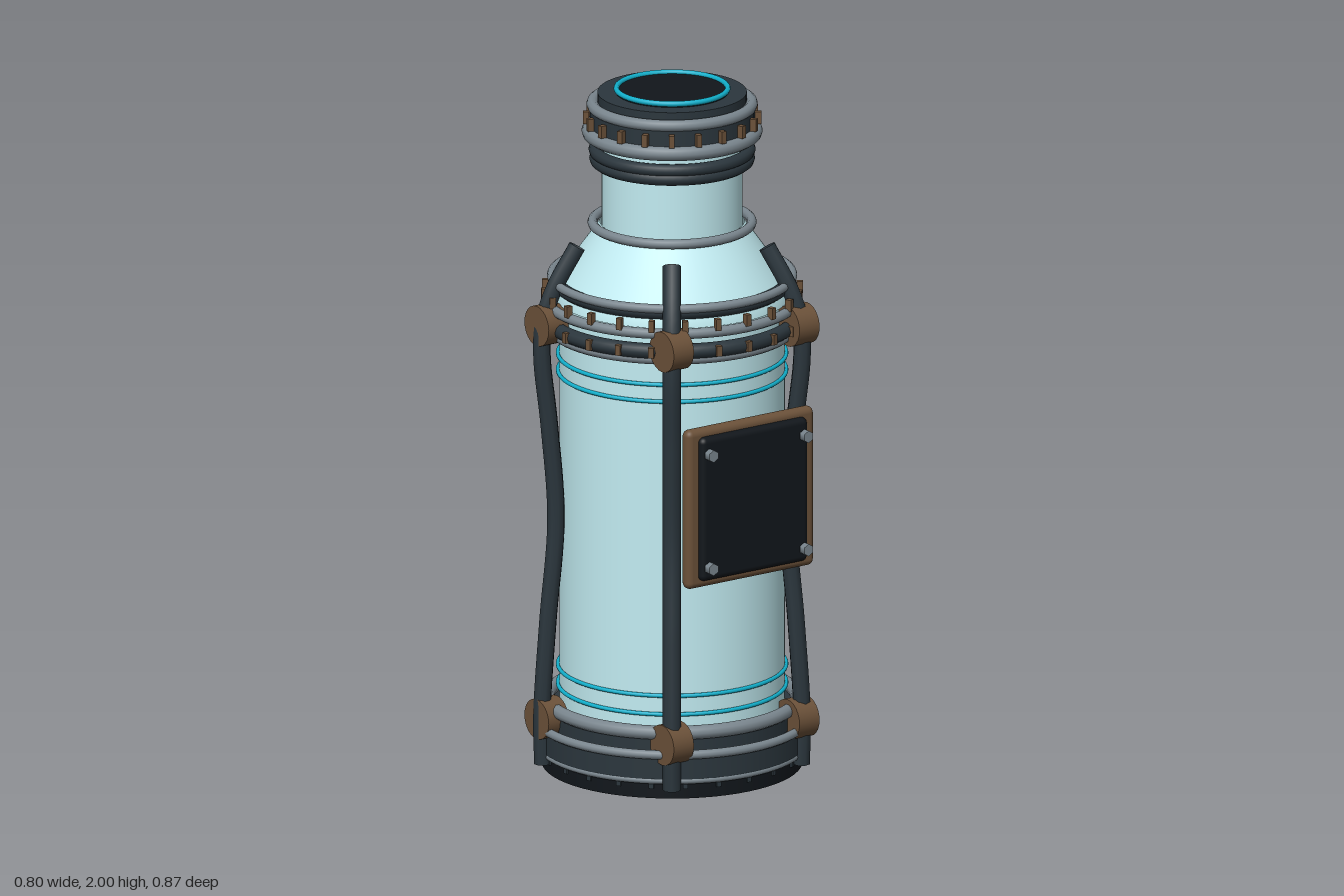
import * as THREE from 'three';
import { RoundedBoxGeometry } from 'three/addons/geometries/RoundedBoxGeometry.js';

const mat = (color, side = THREE.FrontSide) => new THREE.MeshStandardMaterial({ color, side });

export function createModel() {
  const root = new THREE.Group();
  const glass = mat(0xc2ecf2, THREE.DoubleSide);
  const dark = mat(0x2b363d);
  const steel = mat(0x7a868e);
  const bronze = mat(0x6b5139);
  const cyan = mat(0x12b0cc);
  const black = mat(0x11161b);

  const add = (name, geometry, material, x = 0, y = 0, z = 0, parent = root) => {
    const mesh = new THREE.Mesh(geometry, material);
    mesh.name = name;
    mesh.position.set(x, y, z);
    parent.add(mesh);
    return mesh;
  };
  // Horizontal ring given by its outer radius
  const ring = (name, y, outer, tube, material) =>
    add(name, new THREE.TorusGeometry(outer - tube, tube, 10, 72).rotateX(Math.PI / 2), material, 0, y, 0);
  const disc = (name, y0, y1, r, material) =>
    add(name, new THREE.CylinderGeometry(r, r, y1 - y0, 64), material, 0, (y0 + y1) / 2, 0);
  // Circle of small blocks
  const studs = (name, count, y, r, w, h, d, material) => {
    const group = new THREE.Group();
    group.name = name;
    const geometry = new THREE.BoxGeometry(w, h, d);
    for (let i = 0; i < count; i++) {
      const a = (i / count) * Math.PI * 2;
      add('stud', geometry, material, Math.sin(a) * r, y, Math.cos(a) * r, group).rotation.y = a;
    }
    root.add(group);
  };

  // Glass vessel: straight body, sloping shoulder, neck (doubled points keep edges sharp)
  const lathe = (name, points) =>
    add(name, new THREE.LatheGeometry(points.map(([r, y]) => new THREE.Vector2(r, y)), 72), glass);
  lathe('body', [[0.32, 0.1], [0.32, 1.38]]);
  lathe('shoulder', [[0.335, 1.38], [0.325, 1.43], [0.205, 1.6]]);
  lathe('neck', [[0.2, 1.58], [0.2, 1.86]]);

  // Base
  disc('foot', 0, 0.045, 0.37, black);
  ring('footRing', 0.054, 0.385, 0.01, steel);
  disc('baseBand', 0.055, 0.125, 0.383, dark);
  ring('baseRing', 0.133, 0.398, 0.013, steel);
  disc('baseCollar', 0.13, 0.17, 0.355, dark);
  ring('upperBaseRing', 0.19, 0.375, 0.02, steel);
  studs('footStuds', 24, 0.036, 0.37, 0.014, 0.014, 0.01, dark);

  // Shoulder rings
  ring('lowerShoulderRing', 1.292, 0.36, 0.015, steel);
  ring('shoulderBand', 1.317, 0.373, 0.022, dark);
  ring('middleShoulderRing', 1.37, 0.37, 0.015, steel);
  ring('upperShoulderBand', 1.425, 0.345, 0.02, dark);
  ring('upperShoulderRing', 1.44, 0.355, 0.013, steel);
  studs('lowerShoulderStuds', 24, 1.318, 0.37, 0.016, 0.03, 0.018, bronze);
  studs('upperShoulderStuds', 24, 1.394, 0.364, 0.016, 0.034, 0.018, bronze);

  // Neck rings and cap
  ring('neckBaseRing', 1.597, 0.24, 0.014, steel);
  ring('lowerNeckBand', 1.787, 0.235, 0.019, dark);
  ring('upperNeckBand', 1.813, 0.237, 0.018, dark);
  ring('lowerCapRing', 1.868, 0.257, 0.021, steel);
  disc('capBand', 1.865, 1.945, 0.235, dark);
  ring('upperCapRing', 1.947, 0.243, 0.017, steel);
  disc('cap', 1.94, 1.982, 0.212, dark);
  disc('capScreen', 1.98, 1.99, 0.16, black);
  ring('glowRing', 1.992, 0.166, 0.008, cyan);
  studs('capStuds', 20, 1.906, 0.244, 0.016, 0.036, 0.018, bronze);

  // Thin glowing bands
  for (const y of [0.235, 0.29, 1.16, 1.21]) ring('glowBand', y, 0.33, 0.006, cyan);

  // Five bowed ribs, each held by two bronze clamps
  const profile = [[0.385, 0.03], [0.388, 0.17], [0.37, 0.45], [0.346, 0.75], [0.366, 1.03],
    [0.388, 1.24], [0.382, 1.34], [0.352, 1.43], [0.283, 1.55]];
  const curve = new THREE.CatmullRomCurve3(profile.map(([r, y]) => new THREE.Vector3(0, y, -r)));
  const ribGeometry = new THREE.TubeGeometry(curve, 48, 0.026, 8, false);
  const ribMaterial = mat(0x2b363d, THREE.DoubleSide);
  const clampGeometry = new THREE.CylinderGeometry(0.059, 0.059, 0.07, 24).rotateZ(Math.PI / 2);
  for (let i = 0; i < 5; i++) {
    const a = (i / 5) * Math.PI * 2;
    add('rib', ribGeometry, ribMaterial).rotation.y = a;
    for (const y of [0.165, 1.328])
      add('clamp', clampGeometry, bronze, -Math.sin(a) * 0.374, y, -Math.cos(a) * 0.374);
  }

  // Front panel with four bolts
  add('panelFrame', new RoundedBoxGeometry(0.445, 0.47, 0.04, 4, 0.019), bronze, 0, 0.87, 0.366);
  add('panelPlate', new RoundedBoxGeometry(0.375, 0.425, 0.05, 4, 0.018), black, 0, 0.87, 0.38);
  const headGeometry = new THREE.CylinderGeometry(0.018, 0.018, 0.022, 6).rotateX(Math.PI / 2);
  const shankGeometry = new THREE.CylinderGeometry(0.008, 0.008, 0.03, 10).rotateX(Math.PI / 2);
  for (const x of [-0.166, 0.166]) {
    for (const y of [0.7, 1.035]) {
      add('boltHead', headGeometry, steel, x, y, 0.421);
      add('boltShank', shankGeometry, steel, x, y, 0.402);
    }
  }
  return root;
}
